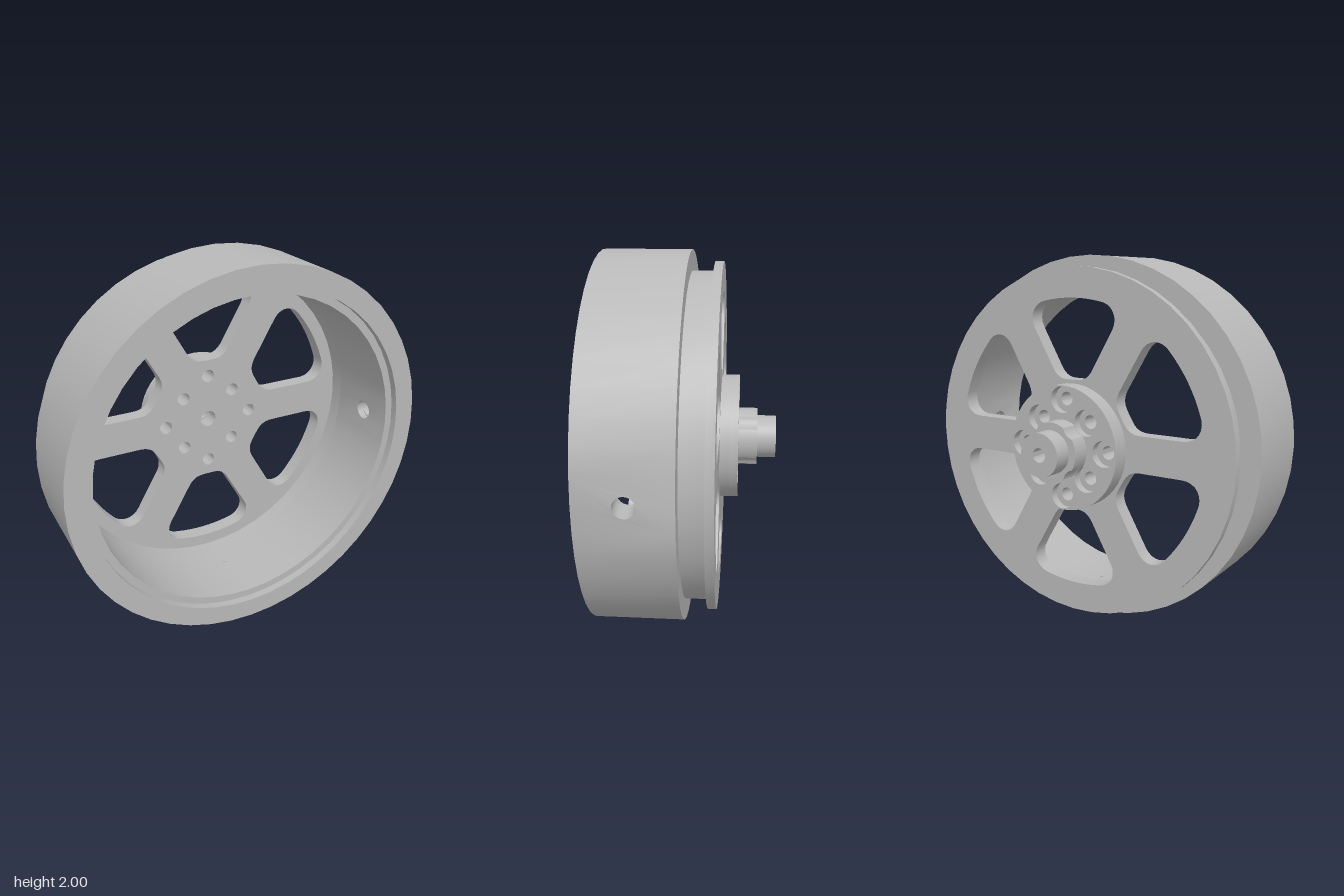
import * as THREE from 'three';
import { mergeGeometries, toCreasedNormals } from 'three/addons/utils/BufferGeometryUtils.js';

const SIDES = 48;
const STEP = (Math.PI * 2) / SIDES;

const circle = (x, y, r, Kind = THREE.Path) => {
  const c = new Kind();
  c.absarc(x, y, r, 0, Math.PI * 2, false);
  return c;
};

// plate cut from a shape, spanning z0..z1
function plate(shape, holes, z0, z1) {
  shape.holes.push(...holes);
  const g = new THREE.ExtrudeGeometry(shape, { depth: z1 - z0, bevelEnabled: false, curveSegments: 24 });
  g.translate(0, 0, z0);
  return toCreasedNormals(g, 0.6);
}

// lathe about the z axis, profile given as [radius, z] counter-clockwise
function turned(profile, start = 0, steps = SIDES) {
  const g = new THREE.LatheGeometry(profile.map(p => new THREE.Vector2(...p)), steps, start, steps * STEP);
  return g.rotateX(Math.PI / 2).toNonIndexed();
}

// ring with a radial hole drilled through its left (+x) wall
function drilledRing(r0, r1, z0, z1, holeZ, holeR) {
  const body = turned([[r0, z0], [r1, z0], [r1, z1], [r0, z1], [r0, z0]], Math.PI / 2 + STEP, SIDES - 2);
  const s = new THREE.Shape([[-STEP, z0], [0, z0], [STEP, z0], [STEP, z1], [0, z1], [-STEP, z1]]
    .map(p => new THREE.Vector2(...p)));
  const hole = new THREE.Path();
  hole.absellipse(0, holeZ, holeR / r1, holeR, 0, Math.PI * 2, false);
  s.holes.push(hole);
  const patch = new THREE.ExtrudeGeometry(s, { depth: r1 - r0, bevelEnabled: false, curveSegments: 12 });
  // wrap the flat patch (angle, z, depth) round the axis
  const p = patch.attributes.position;
  for (let i = 0; i < p.count; i++) {
    const a = p.getX(i), z = p.getY(i), r = r0 + p.getZ(i);
    p.setXYZ(i, r * Math.cos(a), r * Math.sin(a), z);
  }
  patch.clearGroups();
  return toCreasedNormals(mergeGeometries([body, patch]), 0.6);
}

// rounded opening between two spokes, turned by angle
function spokeWindow(angle) {
  const w = new THREE.Path();
  w.moveTo(0.045, 0.355);
  w.quadraticCurveTo(0.095, 0.358, 0.126, 0.412);
  w.lineTo(0.246, 0.62);
  w.bezierCurveTo(0.285, 0.69, 0.24, 0.755, 0.17, 0.763);
  w.quadraticCurveTo(0, 0.797, -0.17, 0.763);
  w.bezierCurveTo(-0.24, 0.755, -0.285, 0.69, -0.246, 0.62);
  w.lineTo(-0.126, 0.412);
  w.quadraticCurveTo(-0.095, 0.358, -0.045, 0.355);
  w.quadraticCurveTo(0, 0.352, 0.045, 0.355);
  const pts = w.getPoints(8).slice(0, -1);
  return new THREE.Path(pts.map(p => p.rotateAround(new THREE.Vector2(), angle)));
}

// eight bolt centres: the diagonal ones sit closer in
const boltCentres = Array.from({ length: 8 }, (_, i) => {
  const r = i % 2 ? 0.212 : 0.26, a = (i * Math.PI) / 4;
  return [r * Math.cos(a), r * Math.sin(a)];
});
const boltHoles = r => boltCentres.map(([x, y]) => circle(x, y, r));

// round boss with four scallops where the diagonal counterbores bite into it
function scallopedBoss(R, h, s) {
  const d = Math.acos((R * R + h * h - s * s) / (2 * R * h));
  const b = Math.atan2(R * Math.sin(d), h - R * Math.cos(d));
  const shape = new THREE.Shape();
  for (let i = 0; i < 4; i++) {
    const a = (i * Math.PI) / 2, m = a + Math.PI / 4;
    shape.absarc(0, 0, R, a - Math.PI / 4 + d, m - d, false);
    shape.absarc(h * Math.cos(m), h * Math.sin(m), s, m + Math.PI + b, m + Math.PI - b, true);
  }
  return shape;
}

export function createModel() {
  const model = new THREE.Group();
  model.name = 'wheel';
  const metal = new THREE.MeshStandardMaterial({ color: 0xb8b8b8 });
  metal.name = 'grey metal';
  const add = (name, geometry) => {
    const m = new THREE.Mesh(geometry, metal);
    m.name = name;
    m.position.y = 1;
    model.add(m);
    return m;
  };

  // outer band and the drum inside it
  add('outerBand', drilledRing(0.89, 1, 0, 0.46, 0.225, 0.053));
  add('innerDrum', drilledRing(0.85, 0.89, 0, 0.42, 0.225, 0.053));

  // stepped flange behind the band
  add('rearFlange', toCreasedNormals(turned([
    [0.85, -0.165], [0.94, -0.165], [0.94, -0.12], [0.89, -0.12],
    [0.89, 0], [0.85, 0], [0.85, -0.165]]), 0.6));

  // spoked web
  const windows = Array.from({ length: 6 }, (_, i) => spokeWindow((i * Math.PI) / 3));
  add('spokeWeb', plate(circle(0, 0, 0.851, THREE.Shape),
    [...windows, ...boltHoles(0.036), circle(0, 0, 0.046)], -0.165, -0.08));

  // hub: drilled floor, counterbored face, scalloped boss and neck
  const bore = () => circle(0, 0, 0.038);
  add('hubBase', plate(circle(0, 0, 0.335, THREE.Shape), [...boltHoles(0.036), bore()], -0.215, -0.165));
  add('hubFace', plate(circle(0, 0, 0.335, THREE.Shape), [...boltHoles(0.07), bore()], -0.26, -0.215));
  add('hubBoss', plate(scallopedBoss(0.155, 0.212, 0.072), [bore()], -0.36, -0.26));
  add('hubNeck', plate(circle(0, 0, 0.115, THREE.Shape), [bore()], -0.46, -0.36));

  // tiny pin in the drum floor
  add('drumPin', new THREE.CylinderGeometry(0.01, 0.01, 0.02, 12).translate(0, -0.855, 0.13));

  return model;
}
